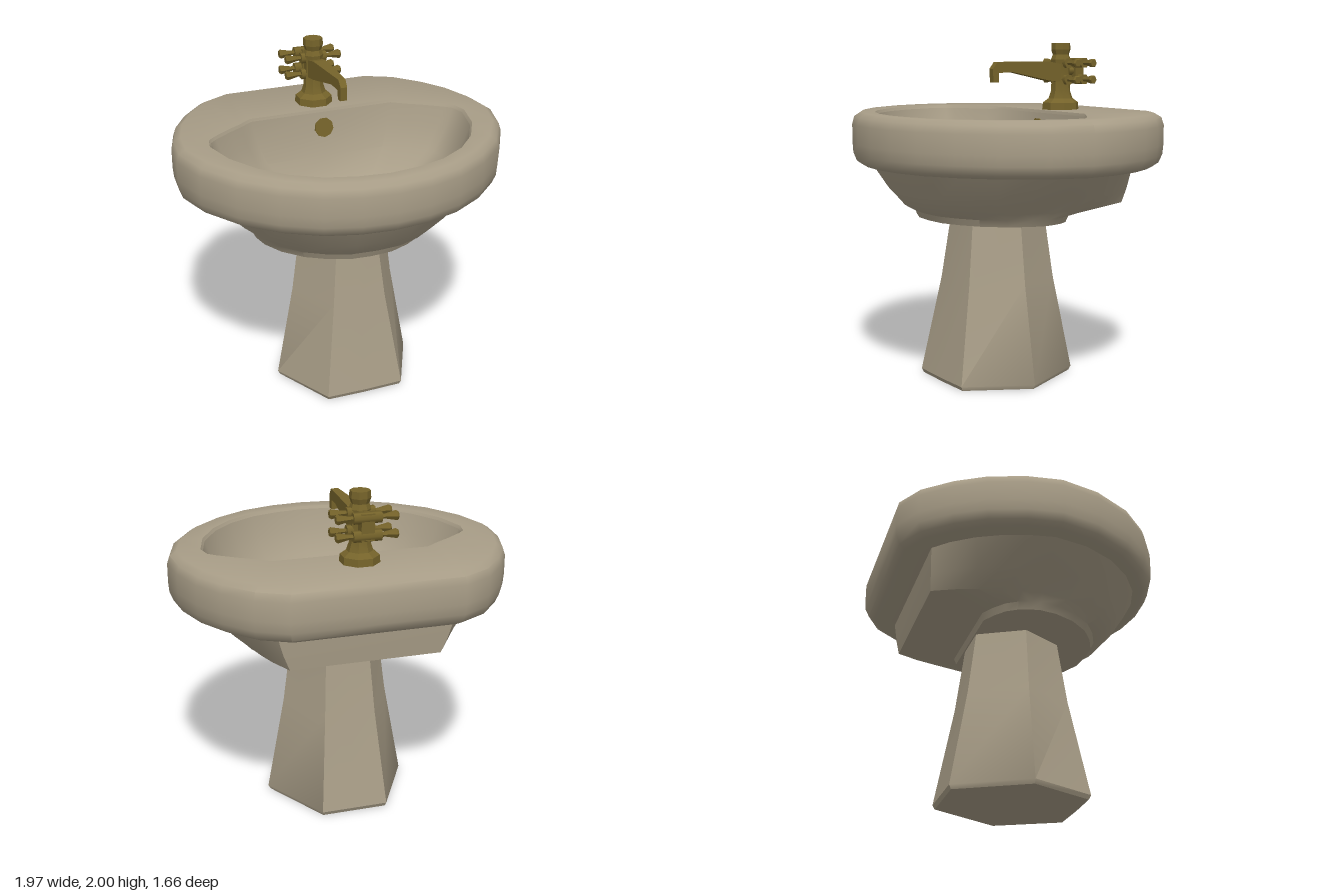
import * as THREE from 'three';
import { toCreasedNormals } from 'three/addons/utils/BufferGeometryUtils.js';

const ceramic = new THREE.MeshStandardMaterial({ color: 0xa89d87 });
ceramic.name = 'ceramic';
const brass = new THREE.MeshStandardMaterial({ color: 0x75632a });
brass.name = 'brass';

// Mirror a half outline [x, z] running front -> left -> back into a closed ring
function mirrored(half) {
  const other = half.filter(p => p[0] > 0).reverse().map(([x, z]) => [-x, z]);
  return [...half, ...other];
}

// Copy of an outline scaled about (0, cz) and placed at height y
const ring = (outline, y, sx = 1, sz = sx, cz = 0) =>
  outline.map(([x, z]) => [x * sx, y, cz + (z - cz) * sz]);

// Surface through successive rings, with optional end caps
function loft(rings, crease, capStart, capEnd) {
  const n = rings[0].length, pos = rings.flat(2), idx = [];
  for (let i = 0; i < rings.length - 1; i++) {
    for (let j = 0; j < n; j++) {
      const k = (j + 1) % n, a = i * n + j, b = i * n + k;
      idx.push(a, b, b + n, a, b + n, a + n);
    }
  }
  const cap = (i, flip) => {
    const c = pos.length / 3, r = rings[i];
    pos.push(0, r[0][1], r.reduce((s, p) => s + p[2], 0) / n);
    for (let j = 0; j < n; j++) {
      const a = i * n + j, b = i * n + (j + 1) % n;
      idx.push(c, flip ? b : a, flip ? a : b);
    }
  };
  if (capStart) cap(0, true);
  if (capEnd) cap(rings.length - 1, false);
  const g = new THREE.BufferGeometry();
  g.setAttribute('position', new THREE.Float32BufferAttribute(pos, 3));
  g.setIndex(idx);
  return toCreasedNormals(g, crease);
}

function add(parent, name, geometry, material, x = 0, y = 0, z = 0) {
  const m = new THREE.Mesh(geometry, material);
  m.name = name;
  m.position.set(x, y, z);
  parent.add(m);
  return m;
}

export function createModel() {
  const model = new THREE.Group();
  model.name = 'pedestalSink';

  // Outlines share the same number of points so they can be joined
  const outer = mirrored([[0, 0.83], [0.2, 0.81], [0.4, 0.75], [0.6, 0.63], [0.78, 0.46], [0.92, 0.23],
    [0.985, 0], [0.965, -0.2], [0.9, -0.41], [0.8, -0.58], [0.66, -0.74], [0.49, -0.83], [0, -0.83]]);
  const opening = mirrored([[0, 0.69], [0.17, 0.67], [0.34, 0.62], [0.5, 0.52], [0.63, 0.38], [0.73, 0.2],
    [0.78, 0], [0.76, -0.09], [0.72, -0.13], [0.61, -0.21], [0.53, -0.26], [0.45, -0.32], [0, -0.32]]);
  const underTop = mirrored([[0, 0.73], [0.18, 0.71], [0.36, 0.65], [0.53, 0.54], [0.68, 0.39], [0.79, 0.2],
    [0.84, 0], [0.82, -0.14], [0.78, -0.28], [0.71, -0.42], [0.62, -0.54], [0.52, -0.63], [0, -0.63]]);
  const underLow = mirrored([[0, 0.55], [0.14, 0.54], [0.27, 0.49], [0.39, 0.41], [0.49, 0.3], [0.56, 0.16],
    [0.59, 0], [0.585, -0.12], [0.57, -0.24], [0.54, -0.36], [0.5, -0.48], [0.44, -0.61], [0, -0.61]]);
  const underFoot = mirrored([[0, 0.46], [0.13, 0.45], [0.25, 0.4], [0.36, 0.33], [0.46, 0.22], [0.52, 0.1],
    [0.54, 0], [0.53, -0.06], [0.51, -0.12], [0.47, -0.18], [0.4, -0.23], [0.32, -0.27], [0, -0.27]]);
  const underMid = underTop.map(([x, z], i) =>
    [x * 0.45 + underLow[i][0] * 0.55, z * 0.45 + underLow[i][1] * 0.55]);

  // Rounded rim and deck
  add(model, 'rim', loft([
    ring(underTop, 1.29, 0.9),
    ring(outer, 1.29, 0.94, 0.93),
    ring(outer, 1.31, 0.975, 0.97),
    ring(outer, 1.36, 0.995),
    ring(outer, 1.42),
    ring(outer, 1.53),
    ring(outer, 1.575, 0.985),
    ring(outer, 1.6, 0.945, 0.94),
    ring(opening, 1.597, 1.015),
    ring(opening, 1.58),
  ], 0.75), ceramic);

  // Hollow of the basin
  add(model, 'basin', loft([
    ring(opening, 1.58),
    ring(opening, 1.46, 0.94, 0.95, 0.05),
    ring(opening, 1.32, 0.83, 0.84, 0.05),
    ring(opening, 1.19, 0.62, 0.65, 0.05),
    ring(opening, 1.12, 0.35, 0.38, 0.05),
    ring(opening, 1.1, 0.13, 0.16, 0.05),
  ], 0.7, false, true), ceramic);

  // Underside with a stepped ledge at the back
  add(model, 'underBowl', loft([
    ring(underFoot, 0.98),
    ring(underFoot, 1.02, 1.04),
    ring(underLow, 1.06),
    ring(underMid, 1.15),
    ring(underTop, 1.3),
  ], 0.55, true), ceramic);

  // Tapered six-sided pedestal
  const hexBase = mirrored([[0, 0.39], [0.24, 0.385], [0.43, 0], [0.2, -0.42], [0, -0.42]]);
  const hexTop = mirrored([[0, 0.24], [0.125, 0.235], [0.27, 0], [0.13, -0.26], [0, -0.26]]);
  const hexMid = hexBase.map(([x, z], i) =>
    [x * 0.35 + hexTop[i][0] * 0.65, z * 0.35 + hexTop[i][1] * 0.65]);
  add(model, 'pedestal', loft([
    ring(hexBase, 0, 0.97),
    ring(hexBase, 0.025),
    ring(hexMid, 0.6, 0.99),
    ring(hexTop, 1.0),
  ], 0.6, true, true), ceramic);

  // Drain and overflow plates
  add(model, 'drain', new THREE.CylinderGeometry(0.1, 0.1, 0.009, 9), brass, 0, 1.13, 0.05);
  const overflow = add(model, 'overflow', new THREE.CylinderGeometry(0.06, 0.06, 0.009, 9), brass, 0, 1.49, -0.293);
  overflow.rotation.x = Math.PI / 2 - 0.15;

  // Tap body
  const tap = new THREE.Group();
  tap.name = 'tap';
  model.add(tap);
  const profile = [[0, 1.59], [0.115, 1.59], [0.11, 1.64], [0.075, 1.665], [0.06, 1.71], [0.055, 1.85],
    [0.062, 1.9], [0.05, 1.93], [0.06, 1.96], [0.058, 2], [0, 2]].map(p => new THREE.Vector2(...p));
  add(tap, 'tapBody', toCreasedNormals(new THREE.LatheGeometry(profile, 8, Math.PI / 8), 0.3), brass, 0, 0, -0.47);

  // Spout: side profile extruded, then narrowed towards the tip
  const side = new THREE.Shape([[-0.45, 1.765], [-0.36, 1.775], [-0.1, 1.83], [-0.01, 1.825], [-0.008, 1.77],
    [0.028, 1.77], [0.032, 1.85], [0, 1.89], [-0.36, 1.89], [-0.45, 1.87]].map(p => new THREE.Vector2(...p)));
  const spout = new THREE.ExtrudeGeometry(side, { depth: 1, bevelEnabled: false });
  spout.translate(0, 0, -0.5).rotateY(-Math.PI / 2);
  const p = spout.attributes.position;
  for (let i = 0; i < p.count; i++) {
    p.setX(i, p.getX(i) * THREE.MathUtils.mapLinear(p.getZ(i), -0.45, 0.03, 0.09, 0.04));
  }
  spout.computeVertexNormals();
  add(tap, 'spout', spout, brass);

  // Paired cross handles beside and behind the body
  const grip = [[0, 0], [0.016, 0], [0.014, 0.1], [0.028, 0.165], [0.022, 0.175], [0, 0.175]]
    .map(q => new THREE.Vector2(...q));
  const gripGeometry = toCreasedNormals(new THREE.LatheGeometry(grip, 6), 0.3);
  for (const z of [-0.475, -0.592]) {
    for (const y of [1.78, 1.88]) {
      for (const s of [-1, 1]) {
        const m = add(tap, 'handleGrip', gripGeometry, brass, 0, y, z);
        m.rotation.z = -s * Math.PI / 2;
      }
      const collar = add(tap, 'handleCollar', new THREE.CylinderGeometry(0.033, 0.033, 0.16, 6), brass, 0, y, z);
      collar.rotation.z = Math.PI / 2;
    }
  }
  add(tap, 'handleHub', new THREE.BoxGeometry(0.075, 0.15, 0.06), brass, 0, 1.83, -0.585);
  const stem = add(tap, 'handleStem', new THREE.CylinderGeometry(0.025, 0.025, 0.1, 6), brass, 0, 1.83, -0.54);
  stem.rotation.x = Math.PI / 2;

  return model;
}
